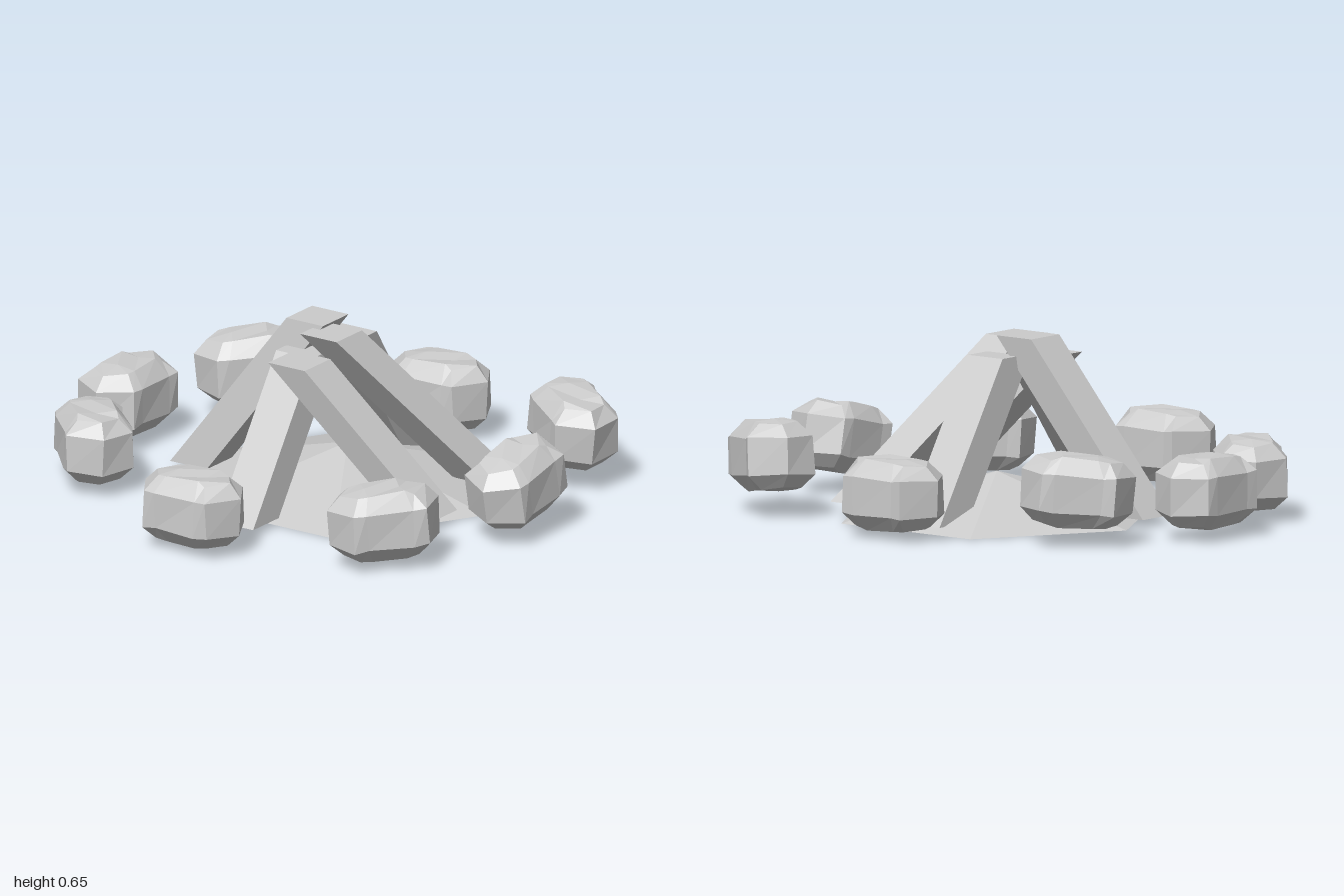
import * as THREE from 'three';

const material = new THREE.MeshStandardMaterial({ color: 0xcccccc, flatShading: true });
const openMaterial = material.clone();
openMaterial.side = THREE.DoubleSide;

// Log: square prism sheared between a bottom and a top centre, ends stay level
function createLog(bottom, top) {
  const size = 0.16;
  const geo = new THREE.BoxGeometry(size, 1, size);
  const pos = geo.attributes.position;
  const a = new THREE.Vector3(...bottom);
  const b = new THREE.Vector3(...top);
  const c = new THREE.Vector3();
  for (let i = 0; i < pos.count; i++) {
    c.lerpVectors(a, b, pos.getY(i) + 0.5);
    pos.setXYZ(i, pos.getX(i) + c.x, c.y, pos.getZ(i) + c.z);
  }
  geo.computeVertexNormals();
  const mesh = new THREE.Mesh(geo, material);
  mesh.name = 'log';
  return mesh;
}

// Stone: subdivided box with pointed ends, bevelled top and bottom, small dents
function createStoneGeometry() {
  const geo = new THREE.BoxGeometry(2, 2, 2, 3, 3, 2);
  const pos = geo.attributes.position;
  for (let i = 0; i < pos.count; i++) {
    const x = pos.getX(i), y = pos.getY(i), z = pos.getZ(i);
    const cap = Math.abs(y) > 0.9;
    const end = Math.abs(x) > 0.9;
    const side = Math.abs(z) > 0.9;
    let px = Math.sign(x) * (end ? (side ? 0.137 : 0.203) : 0.085);
    let py = Math.sign(y) * (cap ? 0.127 : 0.068);
    let pz = z * (end ? 0.123 : 0.122);
    if (cap) {
      px *= 0.77;
      pz *= 0.6;
      if (end) py *= 0.92;
    }
    // dents depend on the grid point, so shared corners stay together
    const dent = (k) => 0.004 * Math.sin(k + x * 5.1 + y * 7.3 + z * 3.7);
    pos.setXYZ(i, px + dent(1), py + dent(2), pz + dent(4));
  }
  geo.computeVertexNormals();
  return geo;
}

export function createModel() {
  const model = new THREE.Group();
  model.name = 'campfire';

  // Low six-sided heap of ash, hollow underneath
  const ashGeo = new THREE.ConeGeometry(0.6, 0.16, 6, 1, true).rotateY(Math.PI / 2);
  const ash = new THREE.Mesh(ashGeo, openMaterial);
  ash.name = 'ashHeap';
  ash.position.set(0.06, 0.08, -0.12);
  model.add(ash);

  // Leaning logs: bottom centre, top centre
  const logs = new THREE.Group();
  logs.name = 'logs';
  [
    [[-0.475, 0.03, 0.035], [-0.01, 0.65, -0.03]],
    [[0.015, 0.02, -0.52], [0.065, 0.58, -0.1]],
    [[0.475, 0.04, -0.38], [0.105, 0.635, 0.05]],
    [[0.54, 0.045, 0.075], [0.06, 0.555, 0.185]],
    [[0.04, 0.03, 0.48], [-0.003, 0.55, 0.045]],
  ].forEach(([bottom, top]) => logs.add(createLog(bottom, top)));
  model.add(logs);

  // Ring of stones: x, y, z, turn, tilt
  const stones = new THREE.Group();
  stones.name = 'stoneRing';
  const stoneGeo = createStoneGeometry();
  [
    [0.005, 0.158, 0.77, 0, 0],
    [0.665, 0.165, 0.52, 0.82, 0.06],
    [0.865, 0.195, -0.025, Math.PI / 2, 0.2],
    [0.70, 0.215, -0.62, -0.6, -0.12],
    [0.005, 0.158, -0.78, 0, 0],
    [-0.635, 0.20, -0.515, 0.7, 0.08],
    [-0.865, 0.17, -0.065, Math.PI / 2, 0],
    [-0.69, 0.165, 0.4, -0.8, 0],
  ].forEach(([x, y, z, turn, tilt]) => {
    const stone = new THREE.Mesh(stoneGeo, material);
    stone.name = 'stone';
    stone.position.set(x, y, z);
    stone.rotation.set(0, turn, tilt, 'YXZ');
    stones.add(stone);
  });
  model.add(stones);

  return model;
}
